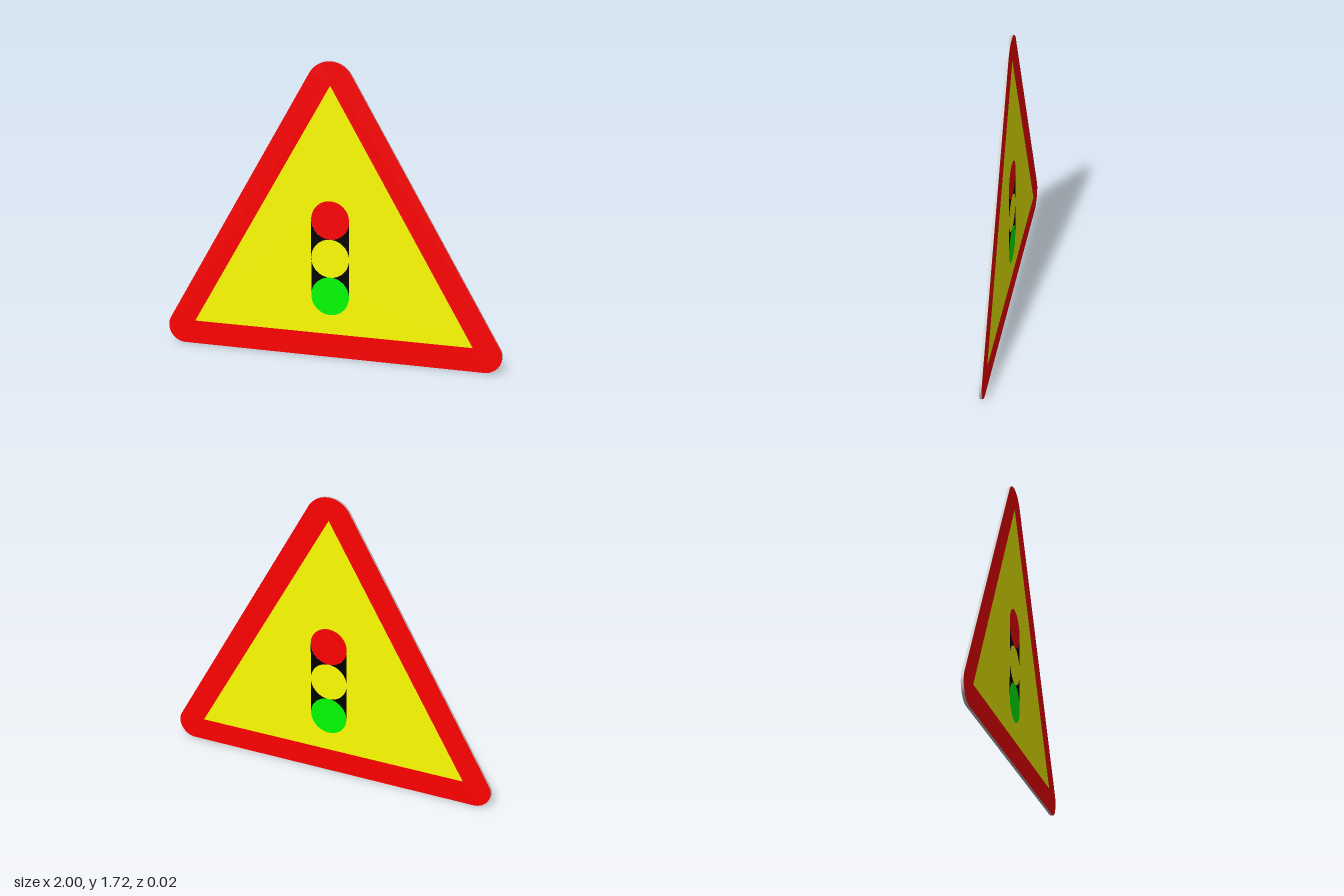
import * as THREE from 'three';

const HALF = 0.008;              // half the plate thickness
const LAMP_R = 0.112;
const LAMP_Y = [0.366, 0.589, 0.813];

const paint = (color) => new THREE.MeshStandardMaterial({ color });
const grey = paint(0xcccccc), red = paint(0xff0000), yellow = paint(0xffff00);
const green = paint(0x00ff00), black = paint(0x000000);

// Triangle outline with rounded corners
function outline() {
  const s = new THREE.Shape();
  const a = Math.PI / 6;
  s.absarc(0.9, 0.1, 0.1, -Math.PI / 2, a);
  s.absarc(0, 1.575, 0.14, a, Math.PI - a);
  s.absarc(-0.9, 0.1, 0.1, Math.PI - a, Math.PI * 1.5);
  s.closePath();
  return s;
}

const innerTriangle = () => [[-0.833, 0.14], [0.833, 0.14], [0, 1.58]]
  .map(([x, y]) => new THREE.Vector2(x, y));

// Upright capsule around the three lamps
function capsule() {
  const p = new THREE.Path();
  p.absarc(0, LAMP_Y[2], LAMP_R, 0, Math.PI);
  p.absarc(0, LAMP_Y[0], LAMP_R, Math.PI, Math.PI * 2);
  p.closePath();
  return p;
}

// Filler beside two neighbouring lamps, on the +x side
function filler(y0, y1) {
  const s = new THREE.Shape();
  s.moveTo(LAMP_R, y0);
  s.lineTo(LAMP_R, y1);
  s.absarc(0, y1, LAMP_R, 0, -Math.PI / 2, true);
  s.absarc(0, y0, LAMP_R, Math.PI / 2, 0, true);
  return s;
}

// One printed side, facing +z
function createFace(name) {
  const face = new THREE.Group();
  face.name = name;
  const add = (part, geometry, material, y = 0) => {
    const mesh = new THREE.Mesh(geometry, material);
    mesh.name = part;
    mesh.position.set(0, y, HALF);
    face.add(mesh);
    return mesh;
  };

  const border = outline();
  border.holes.push(new THREE.Path(innerTriangle()));
  add('redBorder', new THREE.ShapeGeometry(border, 24), red);

  const panel = new THREE.Shape(innerTriangle());
  panel.holes.push(capsule());
  add('yellowPanel', new THREE.ShapeGeometry(panel, 24), yellow);

  // Lamps
  [['greenLamp', green], ['yellowLamp', yellow], ['redLamp', red]].forEach(([part, mat], i) =>
    add(part, new THREE.CircleGeometry(LAMP_R, 48), mat, LAMP_Y[i]));

  // Black housing showing between the lamps
  for (let i = 0; i < 2; i++) {
    const geometry = new THREE.ShapeGeometry(filler(LAMP_Y[i], LAMP_Y[i + 1]), 24);
    add('lampHousing', geometry, black);
    const mid = LAMP_Y[i] + LAMP_Y[i + 1];
    add('lampHousing', geometry, black, mid).rotation.z = Math.PI;
  }
  return face;
}

export function createModel() {
  const sign = new THREE.Group();
  sign.name = 'warningSign';

  // Metal plate, its edge visible around the printed sides
  const depth = 2 * (HALF - 0.001);
  const plate = new THREE.Mesh(new THREE.ExtrudeGeometry(outline(),
    { depth, bevelEnabled: false, curveSegments: 24 }), grey);
  plate.name = 'plate';
  plate.position.z = -depth / 2;
  sign.add(plate);

  const back = createFace('backFace');
  back.rotation.y = Math.PI;
  sign.add(createFace('frontFace'), back);
  return sign;
}
